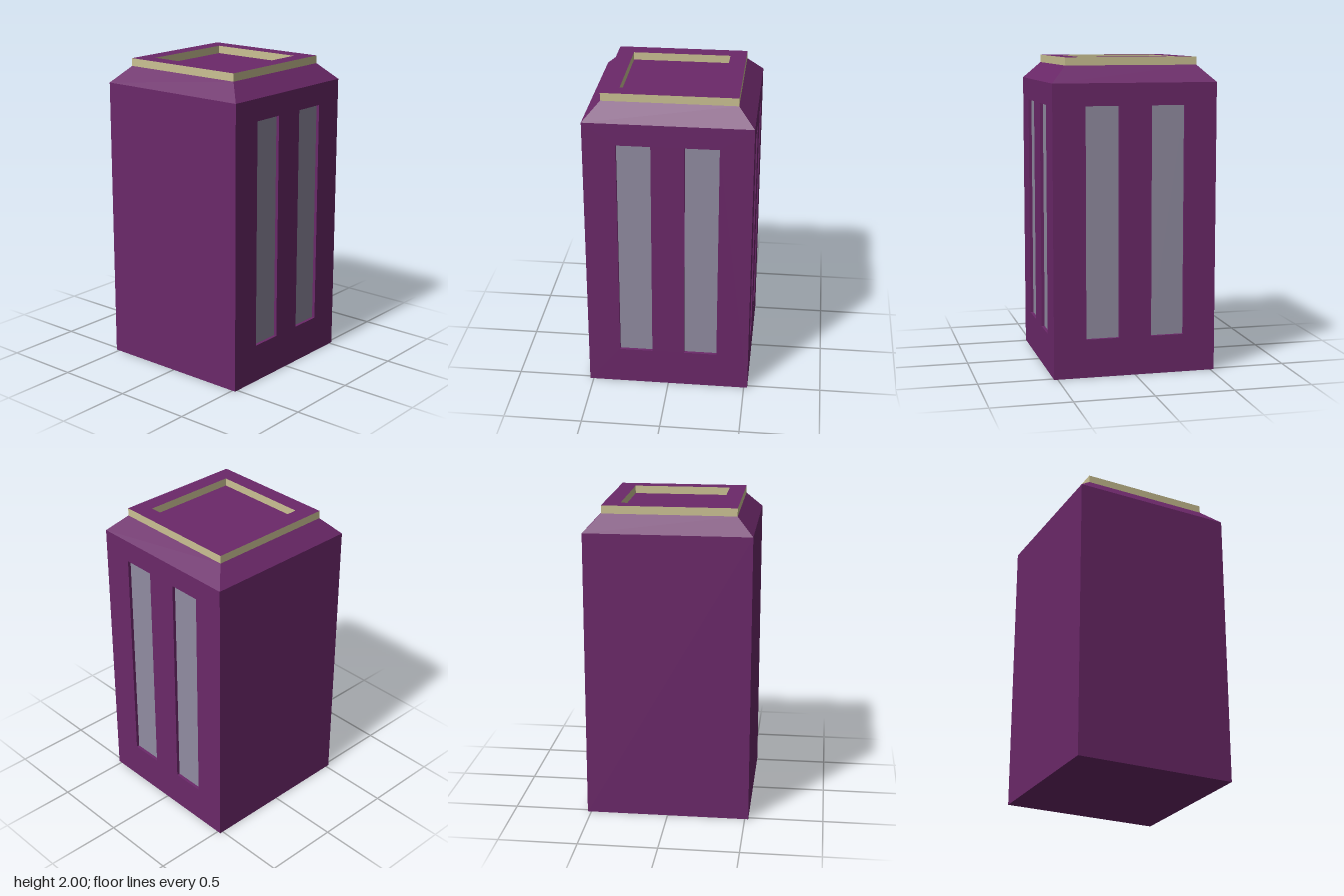
import * as THREE from 'three';

const HALF = 0.523, WALL_TOP = 1.845, RIM_Y = 1.95, TOP = 2;
const RIM = 0.42, RECESS = 0.315, INSET = 0.02;
const WIN = { w: 0.212, bottom: 0.245, top: 1.705, offset: 0.21 };

const mat = (color, extra = {}) => new THREE.MeshStandardMaterial({ color, flatShading: true, ...extra });

function rect(Kind, x0, y0, x1, y1) {
  return new Kind([[x0, y0], [x1, y0], [x1, y1], [x0, y1]].map(p => new THREE.Vector2(...p)));
}

export function createModel() {
  const purple = mat(0x6b2869);
  const revealPurple = mat(0x6b2869, { side: THREE.DoubleSide });
  const gold = mat(0xcbc193);
  const glass = mat(0x918ca1);
  const model = new THREE.Group();

  const add = (parent, name, geometry, material) => {
    const mesh = new THREE.Mesh(geometry, material);
    mesh.name = name;
    parent.add(mesh);
    return mesh;
  };

  // One wall facing +z, turned into place; windowed walls get two inset panes
  const addWall = (name, angle, windowed) => {
    const wall = new THREE.Group();
    wall.name = name;
    const panel = rect(THREE.Shape, -HALF, 0, HALF, WALL_TOP);
    if (windowed) {
      const h = WIN.top - WIN.bottom, midY = (WIN.top + WIN.bottom) / 2;
      for (const x of [-WIN.offset, WIN.offset]) {
        panel.holes.push(rect(THREE.Path, x - WIN.w / 2, WIN.bottom, x + WIN.w / 2, WIN.top));
        add(wall, 'windowPane', new THREE.PlaneGeometry(WIN.w, h), glass)
          .position.set(x, midY, HALF - INSET);
        // Open square sleeve lining the opening
        const sleeve = new THREE.CylinderGeometry(Math.SQRT1_2, Math.SQRT1_2, 1, 4, 1, true)
          .rotateY(Math.PI / 4).rotateX(Math.PI / 2).scale(WIN.w, h, INSET);
        add(wall, 'windowReveal', sleeve, revealPurple).position.set(x, midY, HALF - INSET / 2);
      }
    }
    add(wall, 'wallPanel', new THREE.ShapeGeometry(panel), purple).position.z = HALF;
    wall.rotation.y = angle;
    model.add(wall);
  };
  addWall('frontWall', 0, false);
  addWall('leftWall', Math.PI / 2, true);
  addWall('backWall', Math.PI, true);
  addWall('rightWall', -Math.PI / 2, false);

  // Underside
  add(model, 'base', new THREE.PlaneGeometry(2 * HALF, 2 * HALF).rotateX(Math.PI / 2), purple);

  // Sloping shoulder between the walls and the rim
  const shoulder = new THREE.CylinderGeometry(
    RIM * Math.SQRT2, HALF * Math.SQRT2, RIM_Y - WALL_TOP, 4, 1, true).rotateY(Math.PI / 4);
  add(model, 'shoulder', shoulder, purple).position.y = (RIM_Y + WALL_TOP) / 2;

  // Square rim: purple top, gold edges inside and out
  const ring = rect(THREE.Shape, -RIM, -RIM, RIM, RIM);
  ring.holes.push(rect(THREE.Path, -RECESS, -RECESS, RECESS, RECESS));
  const rim = new THREE.ExtrudeGeometry(ring, { depth: TOP - RIM_Y, bevelEnabled: false });
  add(model, 'topRim', rim.rotateX(-Math.PI / 2), [purple, gold]).position.y = RIM_Y;

  // Floor of the recess in the top
  add(model, 'recessFloor', new THREE.PlaneGeometry(2 * RECESS, 2 * RECESS).rotateX(-Math.PI / 2), purple)
    .position.y = RIM_Y;

  return model;
}
